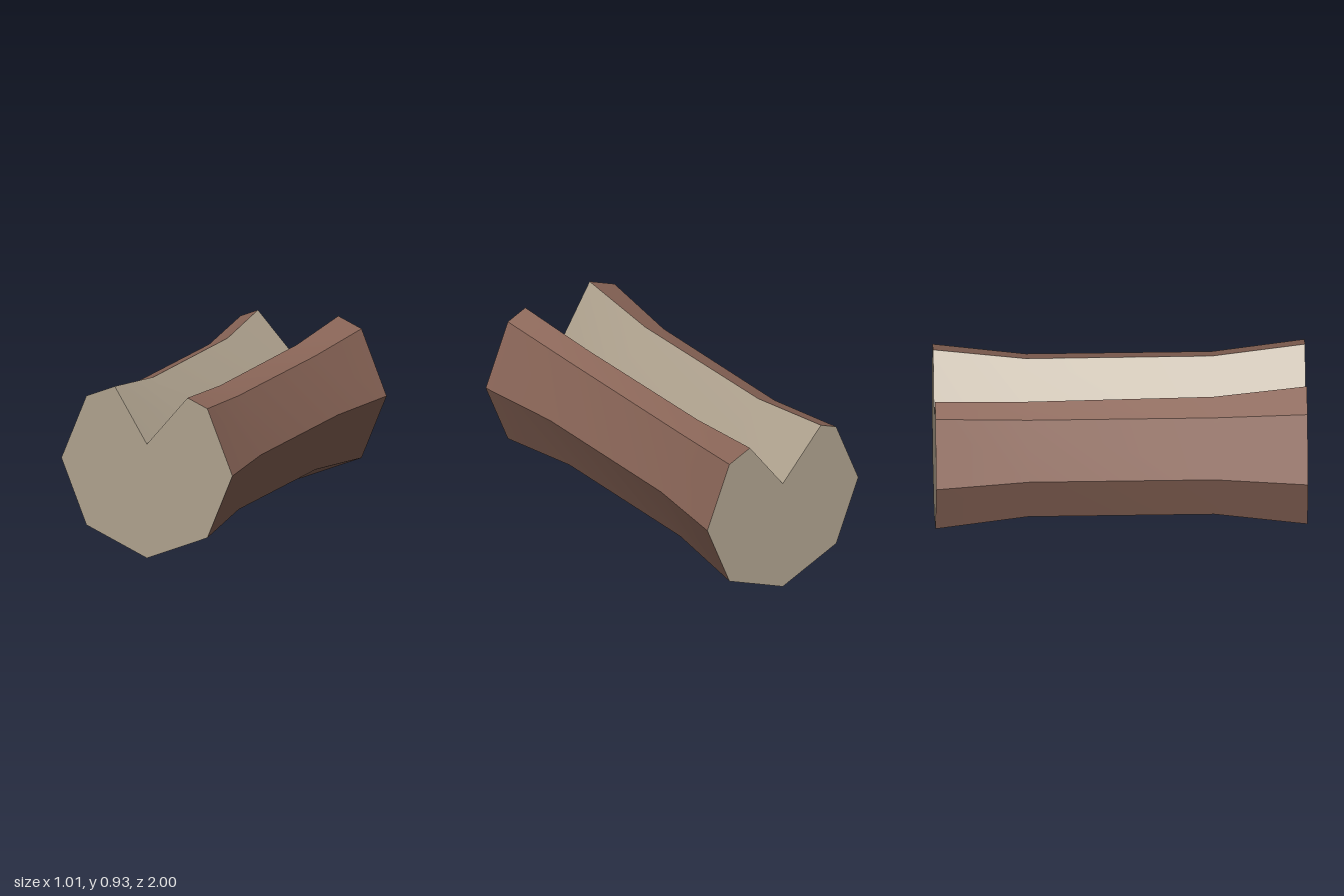
import * as THREE from 'three';
import { toCreasedNormals } from 'three/addons/utils/BufferGeometryUtils.js';

const CENTRE = 0.505, VALLEY = 0.63;

// Stations along the log: z, octagon radius, x of the left and right notch rims
const stations = [
  { z: 1, r: 0.505, rimA: -0.19, rimB: 0.24 },
  { z: 0.5, r: 0.445, rimA: -0.19, rimB: 0.205 },
  { z: -0.5, r: 0.445, rimA: -0.205, rimB: 0.2 },
  { z: -1, r: 0.505, rimA: -0.255, rimB: 0.22 },
];

// Notched octagon, counterclockwise from the bottom of the notch
function section({ r, rimA, rimB }) {
  const rim = x => new THREE.Vector2(x, CENTRE + r - Math.abs(x) * Math.tan(Math.PI / 8));
  const points = [new THREE.Vector2(0, VALLEY), rim(rimA)];
  for (let i = 1; i < 8; i++) {
    const a = Math.PI / 2 + i * Math.PI / 4;
    points.push(new THREE.Vector2(r * Math.cos(a), CENTRE + r * Math.sin(a)));
  }
  points.push(rim(rimB));
  return points;
}

// Strips of faces between the stations for the chosen section edges
function strips(edges) {
  const rings = stations.map(s => section(s).map(p => [p.x, p.y, s.z]));
  const pos = [];
  for (let k = 0; k < rings.length - 1; k++) {
    for (const i of edges) {
      const j = (i + 1) % rings[k].length;
      const a = rings[k][i], b = rings[k][j], c = rings[k + 1][j], d = rings[k + 1][i];
      pos.push(...a, ...d, ...b, ...b, ...d, ...c);
    }
  }
  const geo = new THREE.BufferGeometry();
  geo.setAttribute('position', new THREE.Float32BufferAttribute(pos, 3));
  return toCreasedNormals(geo, Math.PI / 9);
}

// Flat cut end of the log
function endCap(station, back) {
  const points = section(station);
  if (back) points.forEach(p => { p.x = -p.x; });
  const geo = new THREE.ShapeGeometry(new THREE.Shape(points));
  if (back) geo.rotateY(Math.PI);
  return geo.translate(0, 0, station.z);
}

export function createModel() {
  const bark = new THREE.MeshStandardMaterial({ color: 0x8c6759 });
  bark.name = 'bark brown';
  const wood = new THREE.MeshStandardMaterial({ color: 0xb0a38f });
  wood.name = 'cut wood beige';

  const log = new THREE.Group();
  log.name = 'notchedLog';
  const add = (name, geo, mat) => {
    const mesh = new THREE.Mesh(geo, mat);
    mesh.name = name;
    log.add(mesh);
  };

  add('bark', strips([1, 2, 3, 4, 5, 6, 7, 8]), bark);
  add('notchLeftWall', strips([9]), wood);
  add('notchRightWall', strips([0]), wood);
  add('frontEnd', endCap(stations[0], false), wood);
  add('backEnd', endCap(stations[3], true), wood);
  return log;
}
